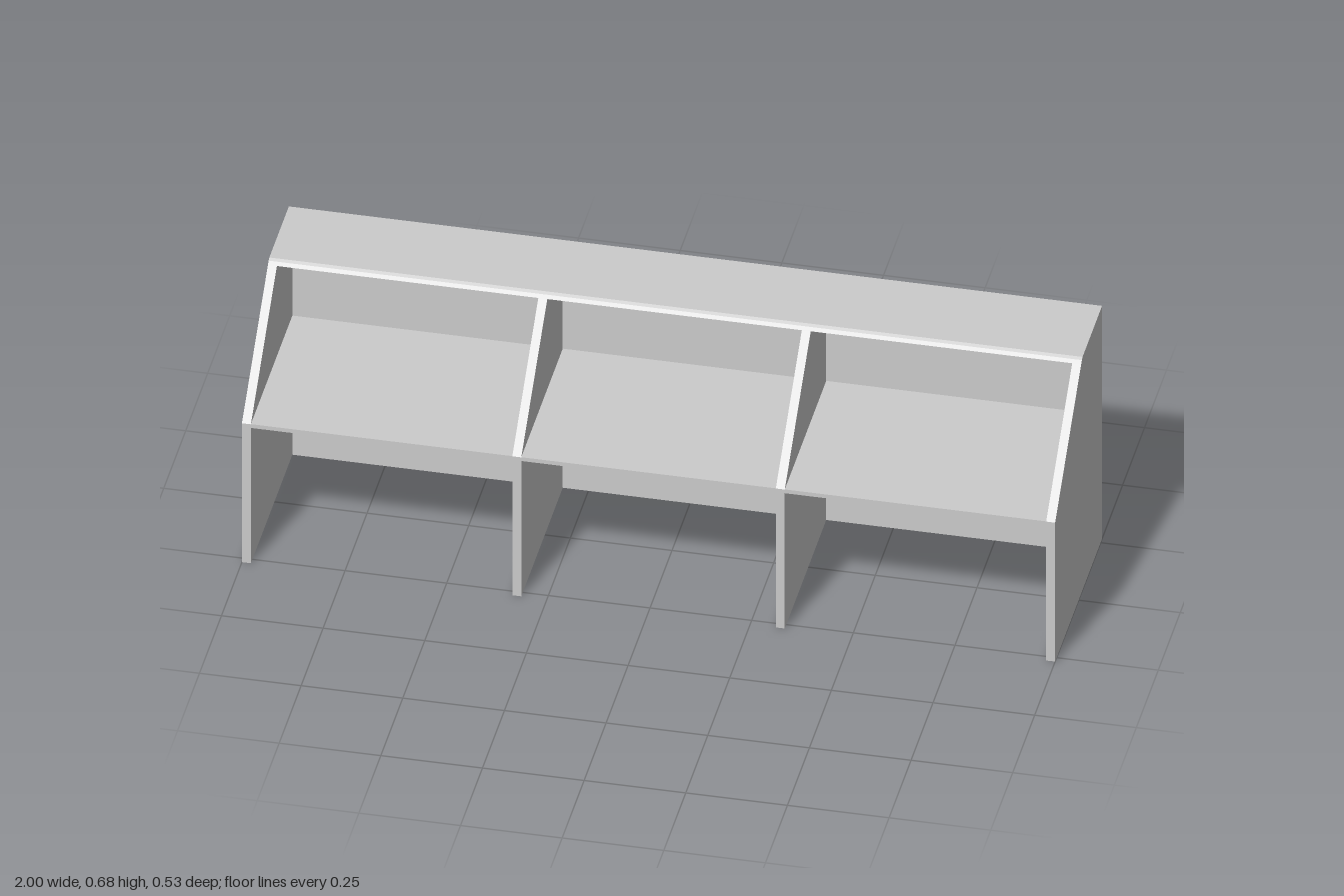
import * as THREE from 'three';

const material = new THREE.MeshStandardMaterial({ color: 0xcccccc, flatShading: true });

const BACK = -0.267, FRONT = 0.267;   // depth limits
const WALL = BACK + 0.062;            // inner face of the back wall
const GROOVE = 0.052;                 // groove depth
const TOP = 0.679, TOP_UNDER = 0.668; // top panel faces
const PANEL = 0.022;                  // upright thickness

function add(group, name, geometry, x = 0, y = 0, z = 0) {
  const mesh = new THREE.Mesh(geometry, material);
  mesh.name = name;
  mesh.position.set(x, y, z);
  group.add(mesh);
  return mesh;
}

// Extrudes a side profile of [z, y] points across x, centred on x = 0
function acrossX(points, width) {
  const shape = new THREE.Shape(points.map(([z, y]) => new THREE.Vector2(-z, y)));
  return new THREE.ExtrudeGeometry(shape, { depth: width, bevelEnabled: false })
    .translate(0, 0, -width / 2)
    .rotateY(Math.PI / 2);
}

function rectangle(w, h) {
  return new THREE.Shape([
    new THREE.Vector2(-w / 2, 0), new THREE.Vector2(w / 2, 0),
    new THREE.Vector2(w / 2, h), new THREE.Vector2(-w / 2, h),
  ]);
}

// Long slot with pointed ends
function slot(y, halfLength, halfHeight, point) {
  const inner = halfLength - point;
  return new THREE.Path([
    new THREE.Vector2(-halfLength, y), new THREE.Vector2(-inner, y + halfHeight),
    new THREE.Vector2(inner, y + halfHeight), new THREE.Vector2(halfLength, y),
    new THREE.Vector2(inner, y - halfHeight), new THREE.Vector2(-inner, y - halfHeight),
  ]);
}

export function createModel() {
  const model = new THREE.Group();
  model.name = 'studyBooths';

  // Back wall: a grooved outer layer on a solid inner sheet
  const grooved = rectangle(2, TOP);
  for (let i = 0; i < 5; i++) grooved.holes.push(slot(0.108 + i * 0.1145, 0.998, 0.041, 0.03));
  add(model, 'groovedBack',
    new THREE.ExtrudeGeometry(grooved, { depth: GROOVE, bevelEnabled: false }), 0, 0, BACK);
  const sheet = WALL - BACK - GROOVE;
  add(model, 'backSheet', new THREE.BoxGeometry(2, TOP, sheet), 0, TOP / 2, WALL - sheet / 2);

  // Uprights: two ends and two dividers with sloping front edges
  const profile = [[WALL, 0], [FRONT, 0], [FRONT, 0.405], [-0.029, TOP_UNDER], [WALL, TOP_UNDER]];
  const upright = acrossX(profile, PANEL);
  const positions = [-1 + PANEL / 2, -0.324, 0.324, 1 - PANEL / 2];
  positions.forEach((x, i) => add(model, i % 3 ? 'divider' : 'endPanel', upright, x));

  // Desk tops between the uprights
  for (let i = 0; i < 3; i++) {
    const width = positions[i + 1] - positions[i] - PANEL;
    const middle = (positions[i] + positions[i + 1]) / 2;
    add(model, 'deskTop', new THREE.BoxGeometry(width, 0.011, FRONT - WALL),
      middle, 0.4, (FRONT + WALL) / 2);
  }

  // Top panel with a bevelled front edge
  add(model, 'topPanel', acrossX([
    [WALL, TOP_UNDER], [-0.029, TOP_UNDER], [-0.037, 0.675], [-0.045, TOP], [WALL, TOP],
  ], 2));

  return model;
}
